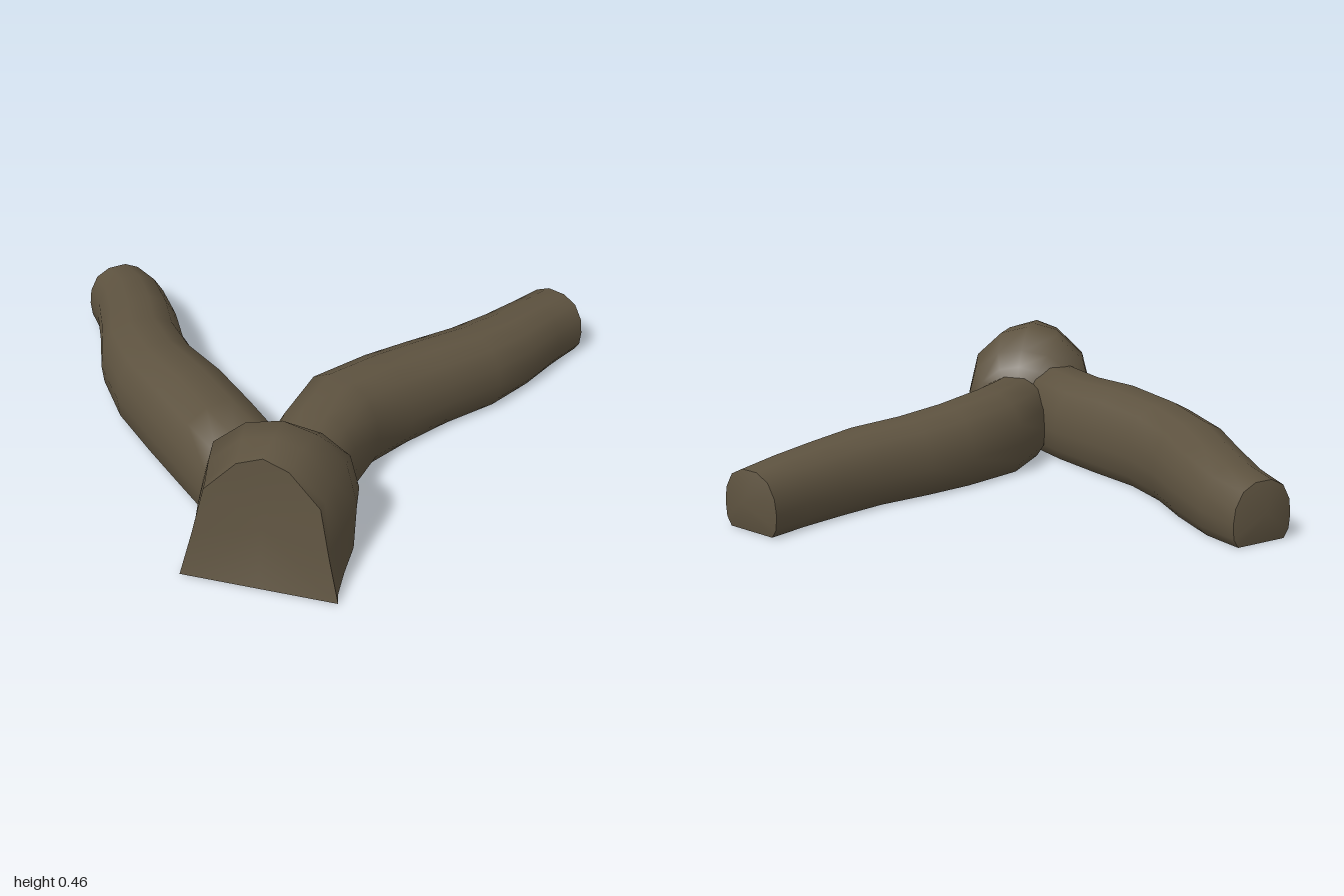
import * as THREE from 'three';
import { toCreasedNormals } from 'three/addons/utils/BufferGeometryUtils.js';

const bark = new THREE.MeshStandardMaterial({ color: 0x5e5340 });
bark.name = 'dull brown';

// Skin a list of equal-length rings and close both ends with a fan to a given point
function loft(name, rings, startTip, endTip) {
  const n = rings[0].length;
  const pos = [...rings.flat(), startTip, endTip].flat();
  const index = [];
  const at = (i, j) => i * n + (j % n);
  const last = rings.length - 1;
  const tip = rings.length * n;
  for (let j = 0; j < n; j++) {
    for (let i = 0; i < last; i++) {
      const a = at(i, j), b = at(i, j + 1), c = at(i + 1, j + 1), d = at(i + 1, j);
      index.push(a, b, c, a, c, d);
    }
    index.push(tip, at(0, j + 1), at(0, j));
    index.push(tip + 1, at(last, j), at(last, j + 1));
  }
  const g = new THREE.BufferGeometry();
  g.setAttribute('position', new THREE.Float32BufferAttribute(pos, 3));
  g.setIndex(index);
  const mesh = new THREE.Mesh(toCreasedNormals(g, 1.05), bark);
  mesh.name = name;
  return mesh;
}

// Flat-bottomed limb section: half width and height, as fractions, from base to crown
const halfSection = [[0.8, 0], [0.96, 0.14], [1, 0.38], [0.94, 0.63], [0.7, 0.87], [0.28, 0.99]];
const limbSection = [...halfSection, ...halfSection.map(([t, y]) => [-t, y]).reverse()];

// Limb from stations: edge A (x, z), edge B (x, z), height
function limb(name, stations, tip) {
  const rings = stations.map(([ax, az, bx, bz, h]) => limbSection.map(([t, y]) => {
    const u = 0.5 + 0.5 * t;
    return [ax + (bx - ax) * u, h * y, az + (bz - az) * u];
  }));
  const [ax, az, bx, bz, h] = stations[stations.length - 1];
  return loft(name, rings, tip, [(ax + bx) / 2, h / 2, (az + bz) / 2]);
}

export function createModel() {
  const group = new THREE.Group();
  group.name = 'forkedTrunk';

  // Limb running to the back
  group.add(limb('backLimb', [
    [-0.49, -0.985, -0.245, -0.96, 0.22],
    [-0.52, -0.86, -0.25, -0.80, 0.24],
    [-0.60, -0.68, -0.31, -0.59, 0.265],
    [-0.69, -0.50, -0.38, -0.41, 0.285],
    [-0.75, -0.26, -0.42, -0.22, 0.305],
    [-0.77, 0.00, -0.42, 0.00, 0.32],
    [-0.78, 0.22, -0.43, 0.22, 0.31],
    [-0.79, 0.43, -0.46, 0.43, 0.32],
    [-0.72, 0.52, -0.50, 0.52, 0.28],
  ], [-0.365, 0.11, -1.0]));

  // Limb running to the side
  group.add(limb('sideLimb', [
    [0.915, 0.04, 0.975, 0.29, 0.22],
    [0.77, 0.075, 0.83, 0.325, 0.235],
    [0.60, 0.10, 0.66, 0.38, 0.245],
    [0.42, 0.12, 0.46, 0.42, 0.26],
    [0.22, 0.115, 0.25, 0.42, 0.27],
    [0.03, 0.12, 0.05, 0.44, 0.285],
    [-0.23, 0.16, -0.12, 0.47, 0.305],
    [-0.44, 0.29, -0.27, 0.56, 0.295],
    [-0.54, 0.38, -0.38, 0.65, 0.28],
  ], [0.98, 0.11, 0.165]));

  // Stump joining both limbs: arched sections along a diagonal axis, flat underneath
  const point = (s, t, y) => [-0.815 + 0.77 * s + 0.64 * t, y, 0.79 - 0.64 * s + 0.77 * t];
  // distance along the axis, backward lean, far-side widening, half arch from base to shoulder, crown
  const sections = [
    [0.44, 0, 1, [0.16, 0], [0.18, 0.15], [0.15, 0.25], [0.08, 0.305], 0.32],
    [0.38, 0, 1.08, [0.21, 0], [0.225, 0.17], [0.195, 0.29], [0.10, 0.36], 0.375],
    [0.28, 0, 1.12, [0.235, 0], [0.245, 0.18], [0.21, 0.33], [0.11, 0.425], 0.455],
    [0.15, 0.08, 1.1, [0.24, 0], [0.23, 0.16], [0.195, 0.33], [0.095, 0.43], 0.455],
    [0.04, 0.15, 1, [0.25, 0], [0.22, 0.15], [0.195, 0.315], [0.09, 0.42], 0.45],
    [0.00, 0.18, 1, [0.262, 0], [0.225, 0.15], [0.19, 0.31], [0.085, 0.415], 0.445],
  ];
  const rings = sections.map(([s, lean, far, ...arch]) => {
    const crown = arch.pop();
    return [
      ...arch.map(([t, y]) => point(s + lean * y, t, y)),
      point(s + lean * crown, 0, crown),
      ...arch.reverse().map(([t, y]) => point(s + lean * y, -t * far, y)),
      point(s, 0, 0),
    ];
  });
  // the cut face is slightly dished towards its middle
  group.add(loft('stump', rings, point(0.48, 0, 0.17), point(0.06, 0, 0.2)));

  return group;
}
